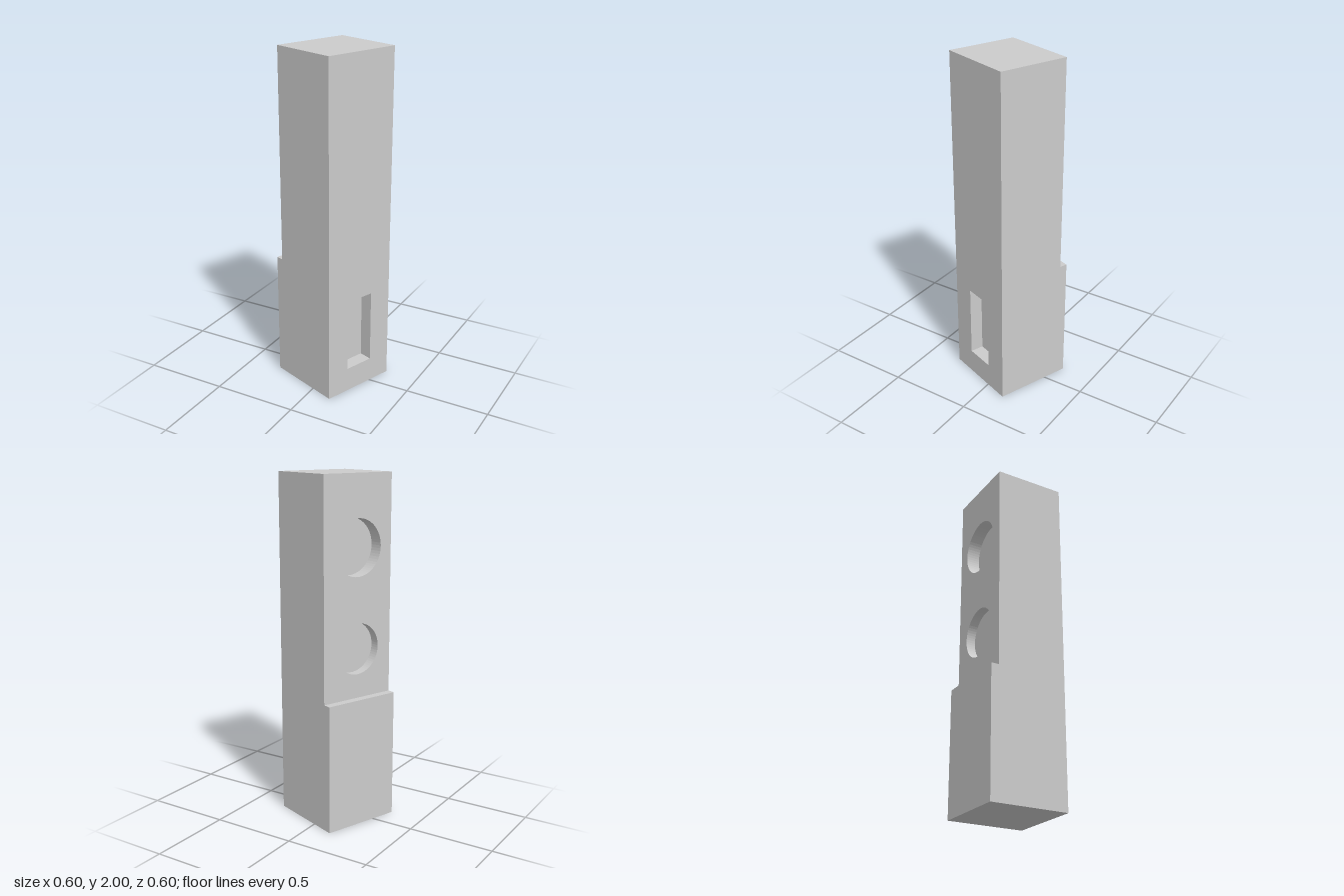
import * as THREE from 'three';

const W = 0.465, H = 2, HALF = W / 2;
const LEDGE = 0.046, LEDGE_H = 0.75;   // step on the -x side
const DEPTH = 0.08;                    // recess depth

const material = new THREE.MeshStandardMaterial({ color: 0xcccccc });

function add(group, name, geometry, x = 0, y = 0, z = 0) {
  const mesh = new THREE.Mesh(geometry, material);
  mesh.name = name;
  mesh.position.set(x, y, z);
  group.add(mesh);
  return mesh;
}

// Upright slab facing sideways, pierced by the given holes; x is its inner (-x) face
function addWall(group, name, holes, x) {
  const shape = new THREE.Shape();
  shape.moveTo(-HALF, 0);
  shape.lineTo(HALF, 0);
  shape.lineTo(HALF, H);
  shape.lineTo(-HALF, H);
  shape.closePath();
  shape.holes.push(...holes);
  const geometry = new THREE.ExtrudeGeometry(shape, { depth: DEPTH, bevelEnabled: false, curveSegments: 32 });
  geometry.rotateY(Math.PI / 2);
  add(group, name, geometry, x);
}

function circle(y, r) {
  const path = new THREE.Path();
  path.absarc(0, y, r, 0, Math.PI * 2, true);
  return path;
}

function rectangle(w, y0, y1) {
  const path = new THREE.Path();
  path.moveTo(-w / 2, y0);
  path.lineTo(-w / 2, y1);
  path.lineTo(w / 2, y1);
  path.lineTo(w / 2, y0);
  path.closePath();
  return path;
}

export function createModel() {
  const root = new THREE.Group();
  root.name = 'tower';
  const body = new THREE.Group();
  body.name = 'towerBody';
  body.rotation.y = -THREE.MathUtils.degToRad(20);
  root.add(body);

  // Solid core between the two pierced walls
  const x0 = -HALF + LEDGE, x1 = HALF;
  const coreW = x1 - x0 - 2 * DEPTH;
  add(body, 'core', new THREE.BoxGeometry(coreW, H, W), (x0 + x1) / 2, H / 2, 0);

  // Wall with the rectangular niche
  addWall(body, 'nicheWall', [rectangle(0.18, 0.145, 0.58)], x1 - DEPTH);

  // Wall with two round recesses, the lower one shallower
  addWall(body, 'roundRecessWall', [circle(1.6, 0.16), circle(1.034, 0.146)], x0);
  const floor = new THREE.CylinderGeometry(0.146, 0.146, 0.025, 64).rotateZ(Math.PI / 2);
  add(body, 'lowerRecessFloor', floor, x0 + DEPTH - 0.0125, 1.034, 0);

  // Step at the foot of the tower
  add(body, 'baseLedge', new THREE.BoxGeometry(LEDGE, LEDGE_H, W), -HALF + LEDGE / 2, LEDGE_H / 2, 0);

  return root;
}
